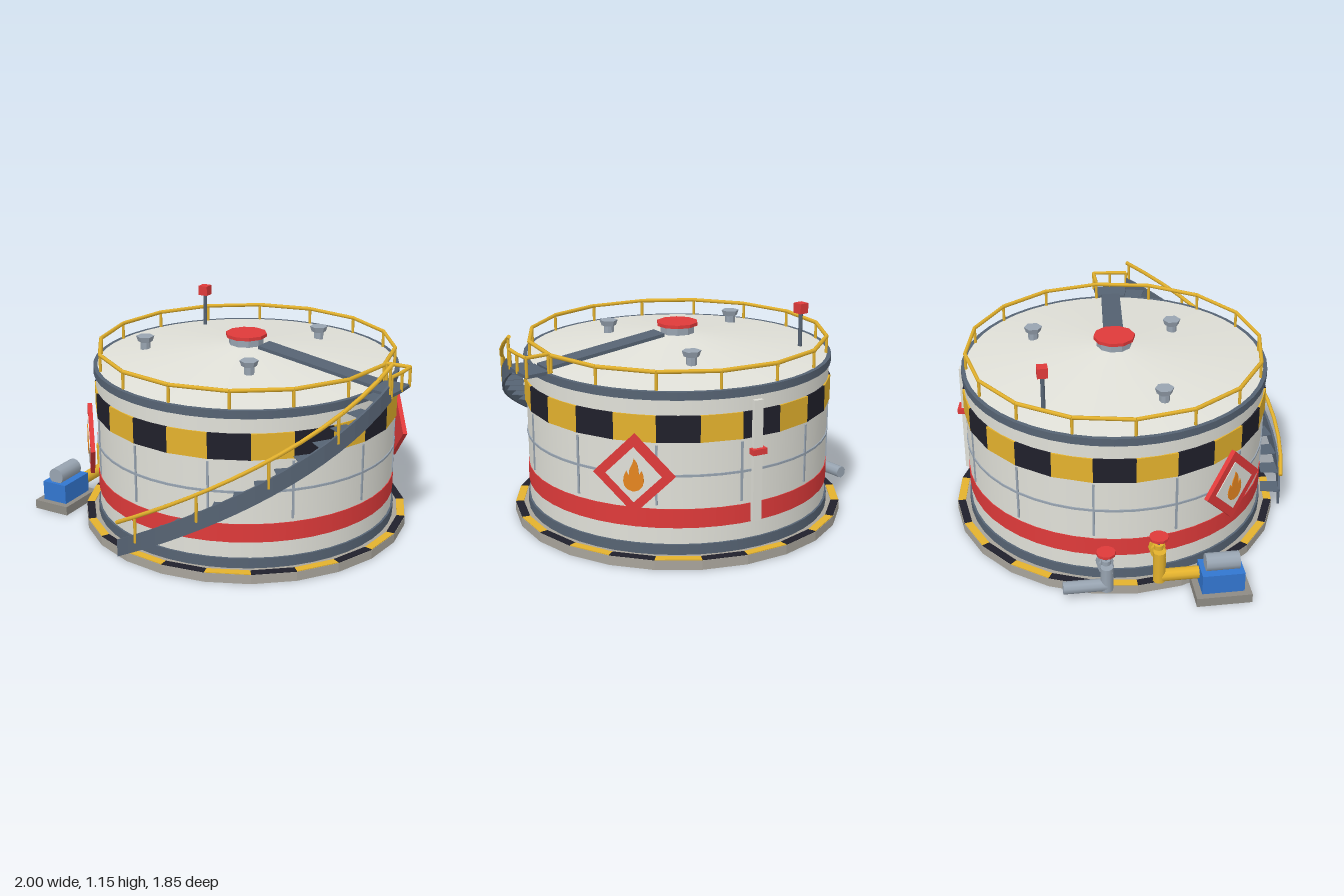
import * as THREE from 'three';
import { mergeGeometries } from 'three/addons/utils/BufferGeometryUtils.js';

const mat = (name, color) => {
  const m = new THREE.MeshStandardMaterial({ color });
  m.name = name;
  return m;
};
const rad = THREE.MathUtils.degToRad;
// Point on a circle; angle 0 faces the front, 90 faces the model's left (+x)
const polar = (r, deg, y) => new THREE.Vector3(r * Math.sin(rad(deg)), y, r * Math.cos(rad(deg)));

const facet = g => {
  const flat = g.toNonIndexed();
  flat.computeVertexNormals();
  return flat;
};

// Rectangular section swept around the tank, following a height rule
function sector(r0, r1, h0, h1, a0, a1, n = 1, rise = () => 0) {
  const pos = [], idx = [];
  for (let i = 0; i <= n; i++) {
    const a = a0 + (a1 - a0) * i / n, y = rise(a);
    for (const [r, h] of [[r0, h0], [r1, h0], [r1, h1], [r0, h1]]) pos.push(...polar(r, a, y + h).toArray());
  }
  const quad = (a, b, c, d) => idx.push(a, b, c, a, c, d);
  for (let i = 0; i < n; i++) for (let k = 0; k < 4; k++) {
    const q = (k + 1) % 4, s = i * 4;
    quad(s + k, s + 4 + k, s + 4 + q, s + q);
  }
  const e = n * 4;
  quad(0, 1, 2, 3);
  quad(e + 3, e + 2, e + 1, e);
  const g = new THREE.BufferGeometry();
  g.setAttribute('position', new THREE.Float32BufferAttribute(pos, 3));
  g.setIndex(idx);
  return facet(g);
}

// Round bar between two points
function bar(a, b, r, sides = 6) {
  const d = b.clone().sub(a);
  const g = new THREE.CylinderGeometry(r, r, d.length(), sides);
  g.applyQuaternion(new THREE.Quaternion().setFromUnitVectors(new THREE.Vector3(0, 1, 0), d.normalize()));
  const m = a.clone().add(b).multiplyScalar(0.5);
  return g.translate(m.x, m.y, m.z);
}

export function createModel() {
  const M = {
    wall: mat('off-white paint', 0xe0e0d8), concrete: mat('concrete', 0xa8a49b), pad: mat('dark concrete', 0x8e8b84),
    slate: mat('dark slate steel', 0x566373), black: mat('black paint', 0x20202b),
    yellow: mat('safety yellow', 0xe4b22d), red: mat('red paint', 0xdf3a3a),
    metal: mat('grey metal', 0x98a4b1), blue: mat('blue paint', 0x3276d0), orange: mat('flame orange', 0xe58520),
  };
  const model = new THREE.Group();
  model.name = 'storageTank';
  const tank = new THREE.Group();
  tank.name = 'tank';
  tank.position.set(0.05, 0, -0.024);
  model.add(tank);
  const add = (parent, name, geo, material, x = 0, y = 0, z = 0) => {
    const m = new THREE.Mesh(geo, material);
    m.name = name;
    m.position.set(x, y, z);
    parent.add(m);
    return m;
  };
  const box = (w, h, d) => new THREE.BoxGeometry(w, h, d);
  const round = (rt, rb, y0, y1, n = 48) => new THREE.CylinderGeometry(rt, rb, y1 - y0, n).translate(0, (y0 + y1) / 2, 0);
  const drum = (...args) => facet(round(...args));
  const V = (x, y, z) => new THREE.Vector3(x, y, z);

  // Foundation, shell, bands and roof
  add(tank, 'foundation', drum(0.9, 0.9, 0, 0.05, 24), M.concrete);
  add(tank, 'shell', round(0.816, 0.816, 0.05, 0.89), M.wall);
  add(tank, 'lowerRing', round(0.827, 0.827, 0.05, 0.104), M.slate);
  add(tank, 'redBand', round(0.82, 0.82, 0.19, 0.29), M.red);
  add(tank, 'upperRing', round(0.827, 0.827, 0.85, 0.892), M.slate);
  add(tank, 'roof', round(0.08, 0.805, 0.892, 0.985), M.wall);

  // Alternating hazard blocks on the shell and the foundation edge
  for (const odd of [0, 1]) {
    const band = [], edge = [];
    for (let i = odd; i < 24; i += 2) {
      band.push(sector(0.8, 0.827, 0.635, 0.772, i * 15, i * 15 + 15));
      edge.push(sector(0.855, 0.898, 0.045, 0.054, i * 15, i * 15 + 15));
    }
    add(tank, 'hazardBand', mergeGeometries(band), odd ? M.black : M.yellow);
    add(tank, 'foundationMarking', mergeGeometries(edge), odd ? M.yellow : M.black);
  }

  // Plate seams
  const seams = [sector(0.8, 0.822, 0.458, 0.47, 0, 360, 48)];
  for (let i = 0; i < 12; i++) {
    const a = 15 + i * 30;
    seams.push(sector(0.8, 0.822, 0.31, 0.62, a - 0.4, a + 0.4));
  }
  add(tank, 'seams', mergeGeometries(seams), M.metal);

  // Roof railing
  const rail = [];
  for (let i = 0; i < 16; i++) {
    const a = i * 22.5;
    rail.push(bar(polar(0.8, a, 0.88), polar(0.8, a, 0.983), 0.008));
    rail.push(bar(polar(0.8, a, 0.983), polar(0.8, a + 22.5, 0.983), 0.011));
  }
  add(tank, 'roofRailing', mergeGeometries(rail), M.yellow);

  // Centre hatch, vents and beacon mast
  add(tank, 'hatchNeck', drum(0.095, 0.095, 0.96, 1.026, 10), M.metal);
  add(tank, 'hatchLid', drum(0.112, 0.112, 1.024, 1.042, 10), M.red);
  for (const [x, z] of [[0.235, -0.42], [-0.53, 0.185], [0.205, 0.35]]) {
    const y = 0.985 - 0.115 * Math.hypot(x, z);
    add(tank, 'ventNeck', drum(0.028, 0.028, -0.01, 0.05, 8), M.metal, x, y, z);
    add(tank, 'ventCap', drum(0.05, 0.04, 0.045, 0.075, 6), M.metal, x, y, z);
  }
  add(tank, 'mast', drum(0.011, 0.011, 0.9, 1.1, 8), M.slate, -0.505, 0, -0.426);
  add(tank, 'beacon', box(0.055, 0.055, 0.055), M.red, -0.505, 1.12, -0.426);

  // Sloping roof walkway
  const walk = new THREE.Group();
  walk.name = 'walkway';
  walk.rotation.y = rad(-6);
  tank.add(walk);
  add(walk, 'walkwayDeck', box(0.7, 0.018, 0.11), M.slate, 0.46, 0.948, 0).rotation.z = -0.123;

  // Spiral stair: thin treads, outer stringer, handrail and landing
  const A0 = -16, A1 = 78, STEPS = 14, pitch = (A1 - A0) / STEPS;
  const climb = a => 0.085 + (a - A0) / (A1 - A0) * 0.83;
  const treads = [], hand = [];
  for (let i = 0; i < STEPS; i++) {
    const a = A0 + i * pitch, b = a + pitch, y = climb(a + pitch / 2);
    treads.push(sector(0.835, 0.94, y, y + 0.003, a, b));
    hand.push(bar(polar(0.942, a, climb(a) + 0.145), polar(0.942, b, climb(b) + 0.145), 0.011));
  }
  add(tank, 'stairTreads', mergeGeometries(treads), M.slate);
  add(tank, 'stairStringer', sector(0.932, 0.945, -0.048, 0.048, A0, A1, 18, climb), M.slate);
  for (const a of [-8, 13.5, 35, 56.5, 77]) hand.push(bar(polar(0.942, a, climb(a)), polar(0.942, a, climb(a) + 0.145), 0.008));
  add(tank, 'stairHandrail', mergeGeometries(hand), M.yellow);

  add(tank, 'landing', sector(0.81, 0.945, 0.885, 0.903, 78, 90, 2), M.slate);
  const corners = [[0.942, 78], [0.942, 84], [0.942, 90], [0.815, 90]];
  const guard = corners.map(([r, a]) => bar(polar(r, a, 0.89), polar(r, a, 0.993), 0.008));
  for (let i = 0; i < 3; i++) guard.push(bar(polar(...corners[i], 0.993), polar(...corners[i + 1], 0.993), 0.01));
  add(tank, 'landingRailing', mergeGeometries(guard), M.yellow);

  // Diamond warning signs
  const plate = (s, depth) => {
    const shape = new THREE.Shape([[0, -s], [s, 0], [0, s], [-s, 0]].map(p => new THREE.Vector2(...p)));
    return new THREE.ExtrudeGeometry(shape, { depth, bevelEnabled: false });
  };
  const flame = new THREE.Shape();
  flame.moveTo(0, -0.085);
  flame.bezierCurveTo(-0.06, -0.08, -0.06, -0.02, -0.035, 0.02);
  flame.lineTo(-0.022, -0.005);
  flame.bezierCurveTo(-0.025, 0.04, 0, 0.05, 0.003, 0.085);
  flame.bezierCurveTo(0.035, 0.05, 0.02, 0.03, 0.03, 0.005);
  flame.lineTo(0.042, 0.025);
  flame.bezierCurveTo(0.065, -0.02, 0.055, -0.08, 0, -0.085);
  for (const a of [-52.3, 128]) {
    const sign = new THREE.Group();
    sign.name = 'warningSign';
    sign.position.copy(polar(0.842, a, 0.48));
    sign.rotation.y = rad(a);
    tank.add(sign);
    add(sign, 'signBorder', plate(0.205, 0.024), M.red);
    add(sign, 'signFace', plate(0.142, 0.004), M.wall, 0, 0, 0.024);
    add(sign, 'flame', new THREE.ExtrudeGeometry(flame, { depth: 0.004, bevelEnabled: false, curveSegments: 5 }), M.orange, 0, 0, 0.028);
  }

  // Level gauge on the back
  const gauge = new THREE.Group();
  gauge.name = 'levelGauge';
  gauge.position.copy(polar(0.838, 170, 0));
  gauge.rotation.y = rad(170);
  tank.add(gauge);
  add(gauge, 'gaugeBoard', box(0.05, 0.63, 0.022), M.wall, 0, 0.515, 0);
  add(gauge, 'gaugeMarker', box(0.08, 0.03, 0.04), M.red, 0, 0.57, 0.012);

  // Pump set beside the tank
  const pump = new THREE.Group();
  pump.name = 'pump';
  model.add(pump);
  add(pump, 'pumpPad', box(0.215, 0.05, 0.288), M.pad, -0.8925, 0.025, 0.401);
  add(pump, 'pumpBase', box(0.15, 0.11, 0.22), M.blue, -0.89, 0.105, 0.4);
  add(pump, 'motor', bar(V(-0.89, 0.195, 0.315), V(-0.89, 0.195, 0.49), 0.047, 12), M.metal);

  // Two valved runs that drop from the shell: supply to the pump, drain to the back
  for (const [name, m, y, low, z, end] of [['supply', M.yellow, 0.23, 0.11, 0.085, 0.3], ['drain', M.metal, 0.16, 0.08, -0.185, -0.41]]) {
    const line = new THREE.Group();
    line.name = name + 'Line';
    model.add(line);
    const pipes = [
      bar(V(-0.75, y, z), V(-0.87, y, z), 0.03, 10),
      bar(V(-0.855, low - 0.03, z), V(-0.855, y + 0.03, z), 0.033, 10),
      bar(V(-0.855, low, z), V(-0.855, low, end), 0.033, 10),
      bar(V(-0.75, y, z), V(-0.775, y, z), 0.045, 10),
      bar(V(-0.8, y, z), V(-0.815, y, z), 0.042, 10),
      bar(V(-0.826, y, z), V(-0.826, y + 0.055, z), 0.025, 8),
    ];
    add(line, name + 'Pipe', mergeGeometries(pipes), m);
    add(line, 'valveStem', drum(0.008, 0.008, 0.04, 0.1, 6), M.slate, -0.826, y, z);
    add(line, 'valveWheel', drum(0.05, 0.05, 0.09, 0.105, 10), M.red, -0.826, y, z);
  }
  return model;
}
